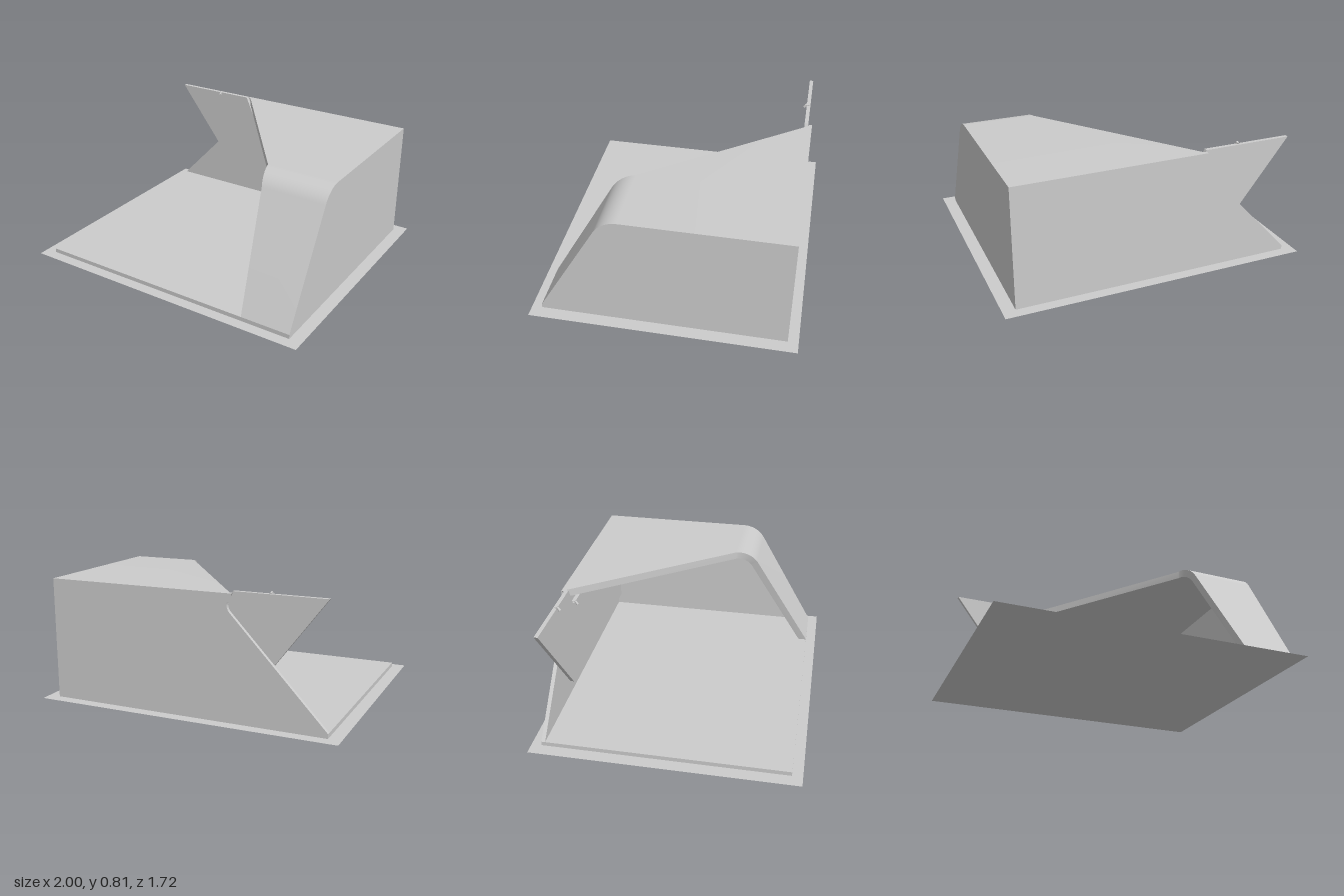
import * as THREE from 'three';
import { toCreasedNormals } from 'three/addons/utils/BufferGeometryUtils.js';

const material = new THREE.MeshStandardMaterial({ color: 0xcccccc, side: THREE.DoubleSide });

function part(name, geometry, x = 0, y = 0, z = 0) {
  const mesh = new THREE.Mesh(geometry, material);
  mesh.name = name;
  mesh.position.set(x, y, z);
  return mesh;
}

const extrude = (shape, depth) =>
  new THREE.ExtrudeGeometry(shape, { depth, bevelEnabled: false, curveSegments: 8 });

// Side profile of the canopy: flat roof, rounded bend, sloping front. Entries are [z, y].
const BEND = 12;
function canopyProfile(inset) {
  const points = [[-0.79, 0.79 - inset]];
  const r = 0.173 - inset;
  for (let i = 0; i <= BEND; i++) {
    const a = (i / BEND) * Math.PI / 3;
    points.push([0.25 + r * Math.sin(a), 0.617 + r * Math.cos(a)]);
  }
  points.push([0.79 - inset / Math.sin(Math.PI / 3), 0.03]);
  return points;
}

// Thick bent sheet whose open edge runs diagonally across the roof
function canopyGeometry() {
  const outer = canopyProfile(0), inner = canopyProfile(0.05);
  const last = outer.length - 1;
  const rings = outer.map(([z, y], i) => {
    const cut = i === 0 ? -0.32 : i === last ? 0.59 : 0.445 + 0.045 * (i - 1) / BEND;
    const [zi, yi] = inner[i];
    return [[cut, y, z], [0.92, y, z], [0.92, yi, zi], [cut, yi, zi]];
  });
  const v = [];
  const quad = (a, b, c, d) => v.push(...a, ...b, ...c, ...a, ...c, ...d);
  for (let i = 0; i < last; i++) {
    for (let k = 0; k < 4; k++) {
      const n = (k + 1) % 4;
      quad(rings[i][k], rings[i + 1][k], rings[i + 1][n], rings[i][n]);
    }
  }
  quad(...rings[0]);
  quad(...[...rings[last]].reverse());
  const geometry = new THREE.BufferGeometry();
  geometry.setAttribute('position', new THREE.Float32BufferAttribute(v, 3));
  return toCreasedNormals(geometry, 0.4);
}

function sideWallGeometry() {
  const pts = canopyProfile(0.05).map(([z, y]) => new THREE.Vector2(z, y));
  pts.push(new THREE.Vector2(-0.79, 0.03));
  return extrude(new THREE.Shape(pts), 0.025).rotateY(-Math.PI / 2);
}

function backWallGeometry() {
  const s = new THREE.Shape();
  s.moveTo(-0.92, 0.03);
  s.lineTo(0.92, 0.03);
  s.lineTo(0.92, 0.79);
  s.lineTo(-0.32, 0.79);
  s.lineTo(-0.297, 0.745);
  s.quadraticCurveTo(-0.28, 0.71, -0.31, 0.675);
  s.closePath();
  return extrude(s, 0.025);
}

// Display board with a raised wing on the open side
function boardGeometry() {
  const s = new THREE.Shape();
  s.moveTo(-0.9, 0.8);
  s.lineTo(-0.385, 0.13);
  s.quadraticCurveTo(-0.37, 0.11, -0.345, 0.11);
  s.lineTo(0.89, 0.11);
  s.lineTo(0.89, 0.66);
  s.lineTo(-0.225, 0.66);
  s.quadraticCurveTo(-0.255, 0.66, -0.267, 0.685);
  s.lineTo(-0.32, 0.8);
  s.closePath();
  return extrude(s, 0.025);
}

// Clip-on spotlight: arm over the board edge and a tilted lamp head
function spotlight(x, y) {
  const lamp = new THREE.Group();
  lamp.name = 'spotlight';
  lamp.add(part('lampArm', new THREE.BoxGeometry(0.008, 0.008, 0.03), 0, 0.005, -0.012));
  const head = part('lampHead', new THREE.CylinderGeometry(0.007, 0.009, 0.028, 12));
  head.rotation.x = -0.6;
  lamp.add(head);
  lamp.position.set(x, y, -0.73);
  return lamp;
}

export function createModel() {
  const model = new THREE.Group();
  model.name = 'exhibitionStand';

  // Ground sheet and raised floor
  model.add(part('groundSheet', new THREE.PlaneGeometry(2, 1.715).rotateX(-Math.PI / 2)));
  model.add(part('floor', new THREE.BoxGeometry(1.84, 0.028, 1.58), 0, 0.016, 0));

  // Canopy and walls
  model.add(part('canopy', canopyGeometry()));
  model.add(part('sideWall', sideWallGeometry(), 0.92, 0, 0));
  model.add(part('backWall', backWallGeometry(), 0, 0, -0.79));

  // Display board and its lamps
  model.add(part('displayBoard', boardGeometry(), 0, 0, -0.764));
  model.add(spotlight(-0.55, 0.797));
  for (const x of [-0.22, 0.055, 0.325]) model.add(spotlight(x, 0.655));

  return model;
}
